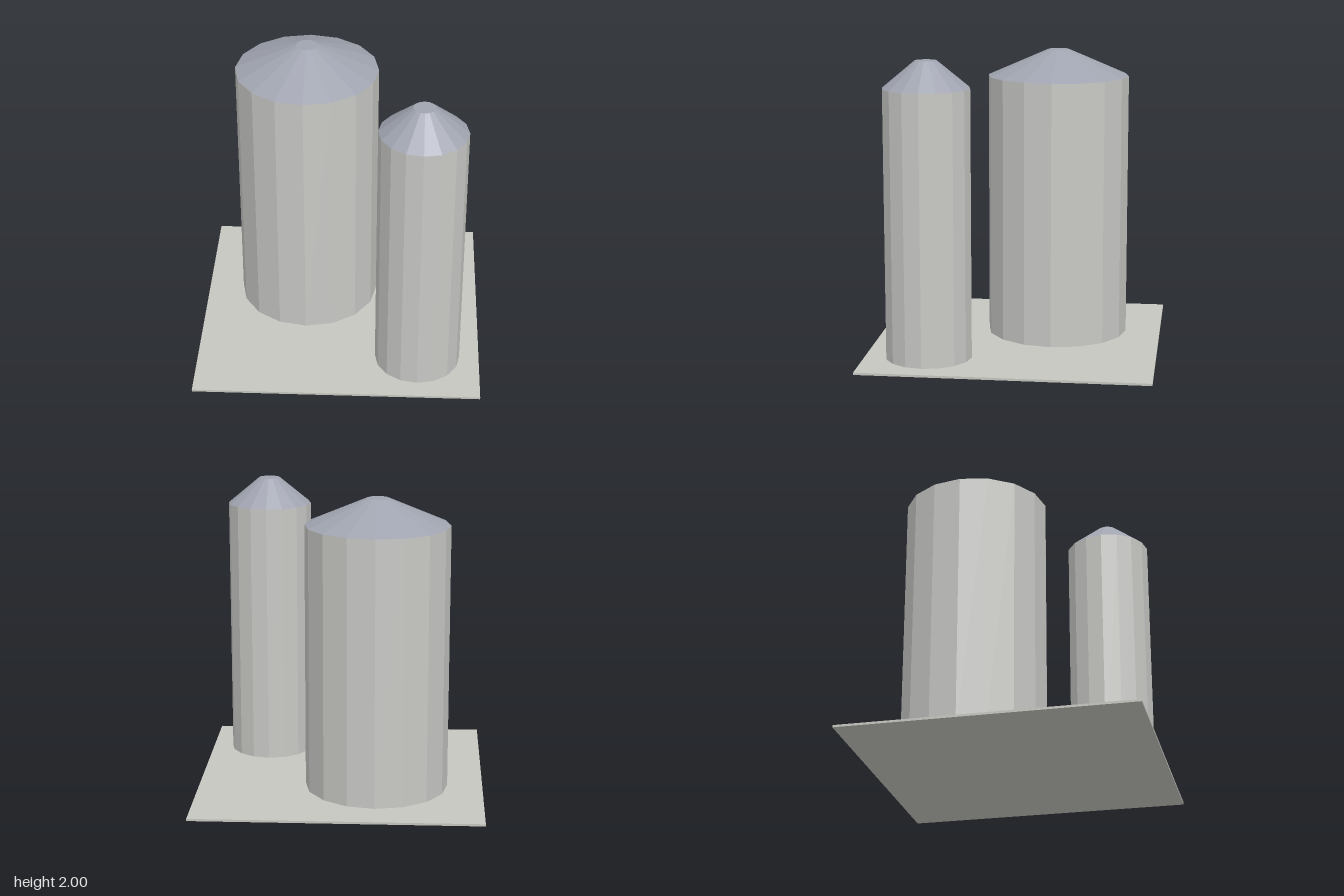
import * as THREE from 'three';

const SIDES = 16;
const BASE_TOP = 0.015, EAVE = 1.82, TOP = 2, CAP_RADIUS = 0.073;

function material(name, color) {
  const m = new THREE.MeshStandardMaterial({ color, flatShading: true });
  m.name = name;
  return m;
}

export function createModel() {
  const concrete = material('concrete', 0xc6c6c0);
  const wallMetal = material('wallMetal', 0xc8c8c5);
  const roofMetal = material('roofMetal', 0xa0a4b0);

  const model = new THREE.Group();
  model.name = 'twinSilos';

  function add(parent, name, geometry, mat, y) {
    const mesh = new THREE.Mesh(geometry, mat);
    mesh.name = name;
    mesh.position.y = y;
    parent.add(mesh);
  }

  // Faceted wall with a truncated cone roof, flush at the eave
  function addSilo(name, x, z, radius) {
    const silo = new THREE.Group();
    silo.name = name;
    silo.position.set(x, 0, z);
    const wallHeight = EAVE - BASE_TOP, roofHeight = TOP - EAVE;
    add(silo, 'wall', new THREE.CylinderGeometry(radius, radius, wallHeight, SIDES, 1, true),
      wallMetal, BASE_TOP + wallHeight / 2);
    add(silo, 'roof', new THREE.CylinderGeometry(CAP_RADIUS, radius, roofHeight, SIDES),
      roofMetal, EAVE + roofHeight / 2);
    model.add(silo);
  }

  // Ground slab
  add(model, 'baseSlab', new THREE.BoxGeometry(1.935, BASE_TOP, 1.935), concrete, BASE_TOP / 2);

  addSilo('largeSilo', -0.243, -0.243, 0.485);
  addSilo('smallSilo', 0.543, 0.543, 0.29);

  return model;
}
